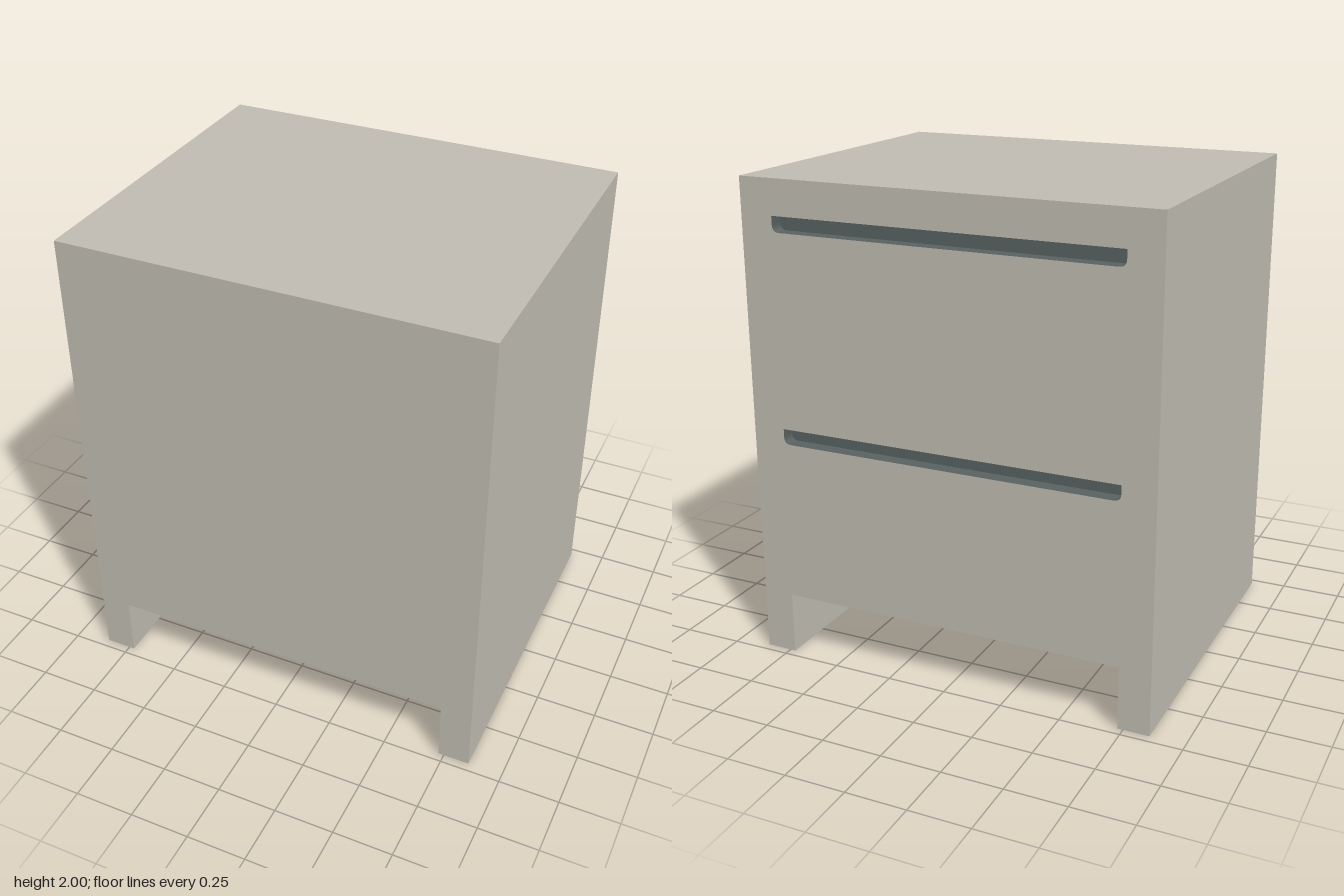
import * as THREE from 'three';

const W = 0.857, H = 2, D = 0.714;       // half width, height, half depth
const LEG_X = 0.727, LEG_Y = 0.262;      // inner leg edge and underside
const RECESS = 0.06;                     // depth of the grip slots
const SLOT_X = 0.72, SLOT_H = 0.064, SLOT_TOPS = [1.856, 0.996];

// Cabinet outline with the open space between the two side legs
function outline() {
  return new THREE.Shape([
    [-W, 0], [-LEG_X, 0], [-LEG_X, LEG_Y], [LEG_X, LEG_Y],
    [LEG_X, 0], [W, 0], [W, H], [-W, H],
  ].map(([x, y]) => new THREE.Vector2(x, y)));
}

// Long grip slot with rounded lower corners
function slot(top, Kind) {
  const r = 0.03, b = top - SLOT_H;
  const s = new Kind();
  s.moveTo(-SLOT_X, top);
  s.lineTo(-SLOT_X, b + r);
  s.quadraticCurveTo(-SLOT_X, b, -SLOT_X + r, b);
  s.lineTo(SLOT_X - r, b);
  s.quadraticCurveTo(SLOT_X, b, SLOT_X, b + r);
  s.lineTo(SLOT_X, top);
  s.closePath();
  return s;
}

export function createModel() {
  const model = new THREE.Group();
  const paint = new THREE.MeshStandardMaterial({ color: 0xc0bcb2 });
  paint.name = 'warm grey';
  const dark = new THREE.MeshStandardMaterial({ color: 0x586261 });
  dark.name = 'dark slate';

  const add = (name, geometry, material, z) => {
    const mesh = new THREE.Mesh(geometry, material);
    mesh.name = name;
    mesh.position.z = z;
    model.add(mesh);
  };

  // Main body with legs
  add('cabinetBody', new THREE.ExtrudeGeometry(outline(),
    { depth: 2 * D - RECESS, bevelEnabled: false }), paint, -D + RECESS);

  // Drawer face, pierced by the slots; the slot walls are dark
  const face = outline();
  for (const top of SLOT_TOPS) face.holes.push(slot(top, THREE.Path));
  const faceGeo = new THREE.ExtrudeGeometry(face,
    { depth: RECESS, bevelEnabled: false, curveSegments: 6 });
  const sides = faceGeo.groups[1].start, outer = 8 * 6;
  faceGeo.clearGroups();
  faceGeo.addGroup(0, sides + outer, 0);
  faceGeo.addGroup(sides + outer, faceGeo.attributes.position.count - sides - outer, 1);
  add('drawerFace', faceGeo, [paint, dark], -D);

  // Dark inner wall of each slot
  SLOT_TOPS.forEach((top, i) => {
    const geo = new THREE.ShapeGeometry(slot(top, THREE.Shape), 6).rotateY(Math.PI);
    add(`slotBack${i + 1}`, geo, dark, -D + RECESS - 0.003);
  });

  return model;
}
